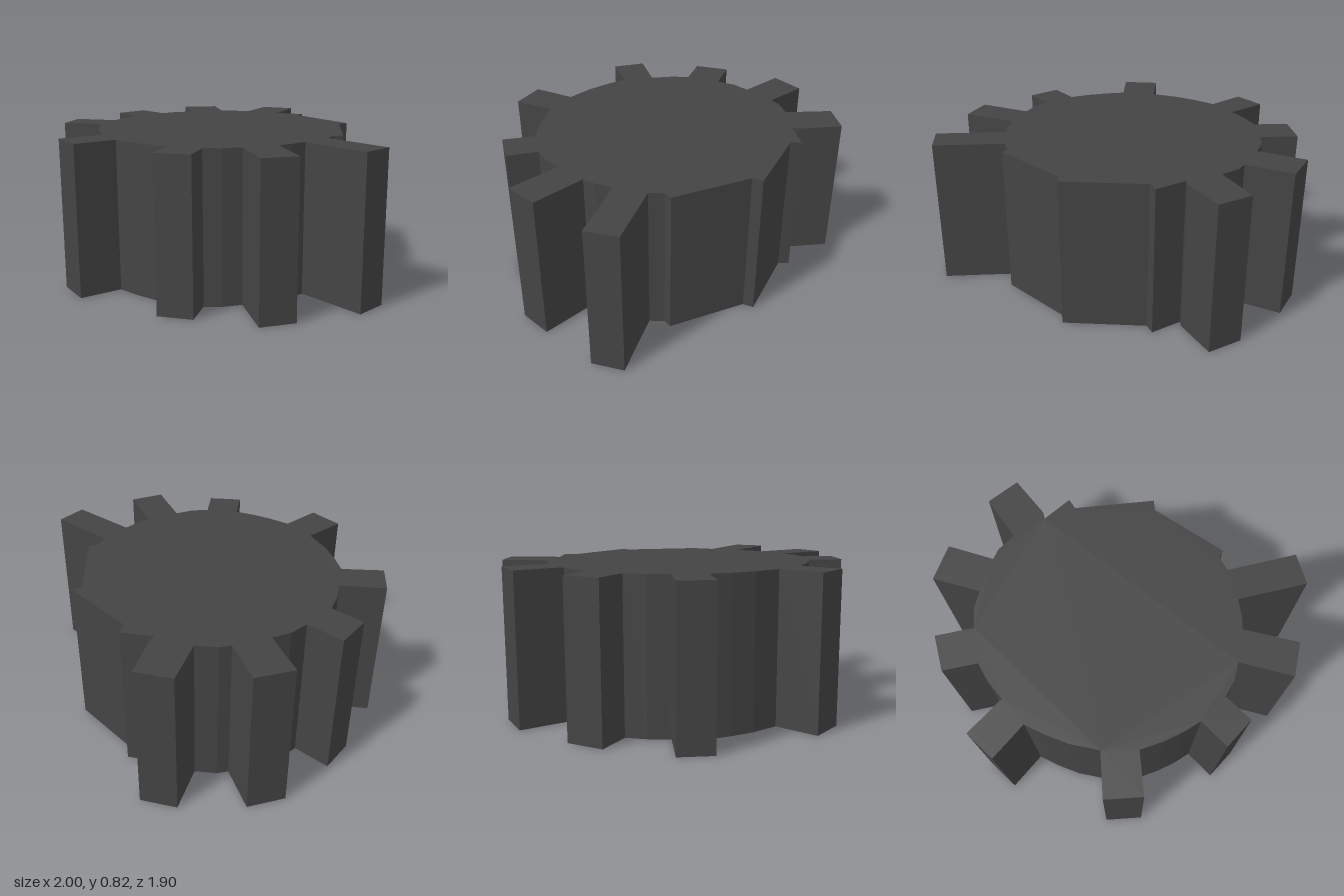
import * as THREE from 'three';

const HEIGHT = 0.82;

// Each tooth: four corners (x, z), followed by the rim points leading to the next tooth
const SECTIONS = [
  { tooth: [[0.61, -0.11], [1, -0.1], [1, 0.08], [0.61, 0.07]], rim: [[0.6, 0.17]] },
  { tooth: [[0.58, 0.24], [0.85, 0.39], [0.76, 0.56], [0.5, 0.41]], rim: [[0.45, 0.5]] },
  { tooth: [[0.38, 0.57], [0.47, 0.72], [0.31, 0.82], [0.22, 0.66]], rim: [[0.12, 0.69], [0.01, 0.71]] },
  { tooth: [[-0.12, 0.72], [-0.16, 0.95], [-0.36, 0.91], [-0.31, 0.67]], rim: [[-0.45, 0.6], [-0.56, 0.52]] },
  { tooth: [[-0.65, 0.44], [-0.84, 0.57], [-0.94, 0.41], [-0.73, 0.28]], rim: [[-0.78, 0.17]] },
  { tooth: [[-0.81, 0.06], [-1, 0.05], [-1, -0.15], [-0.79, -0.14]], rim: [[-0.77, -0.25]] },
  { tooth: [[-0.72, -0.34], [-0.95, -0.48], [-0.83, -0.65], [-0.61, -0.51]], rim: [[-0.57, -0.56]] },
  { tooth: [[-0.47, -0.62], [-0.56, -0.87], [-0.38, -0.95], [-0.28, -0.72]], rim: [] },
];

// Toothless stretch at the back, closed by two broad flat walls
const BACK = [[-0.28, -0.68], [-0.12, -0.76], [-0.1, -0.7], [0.34, -0.63], [0.33, -0.57], [0.62, -0.23], [0.59, -0.19]];

export function createModel() {
  const group = new THREE.Group();
  group.name = 'gear';

  const outline = [...SECTIONS.flatMap(s => [...s.tooth, ...s.rim]), ...BACK];
  const shape = new THREE.Shape(outline.map(([x, z]) => new THREE.Vector2(x, -z)));
  const geometry = new THREE.ExtrudeGeometry(shape, { depth: HEIGHT, bevelEnabled: false });
  geometry.rotateX(-Math.PI / 2);

  const body = new THREE.Mesh(geometry, new THREE.MeshStandardMaterial({ color: 0x444444, flatShading: true }));
  body.name = 'gearBody';
  group.add(body);
  return group;
}
